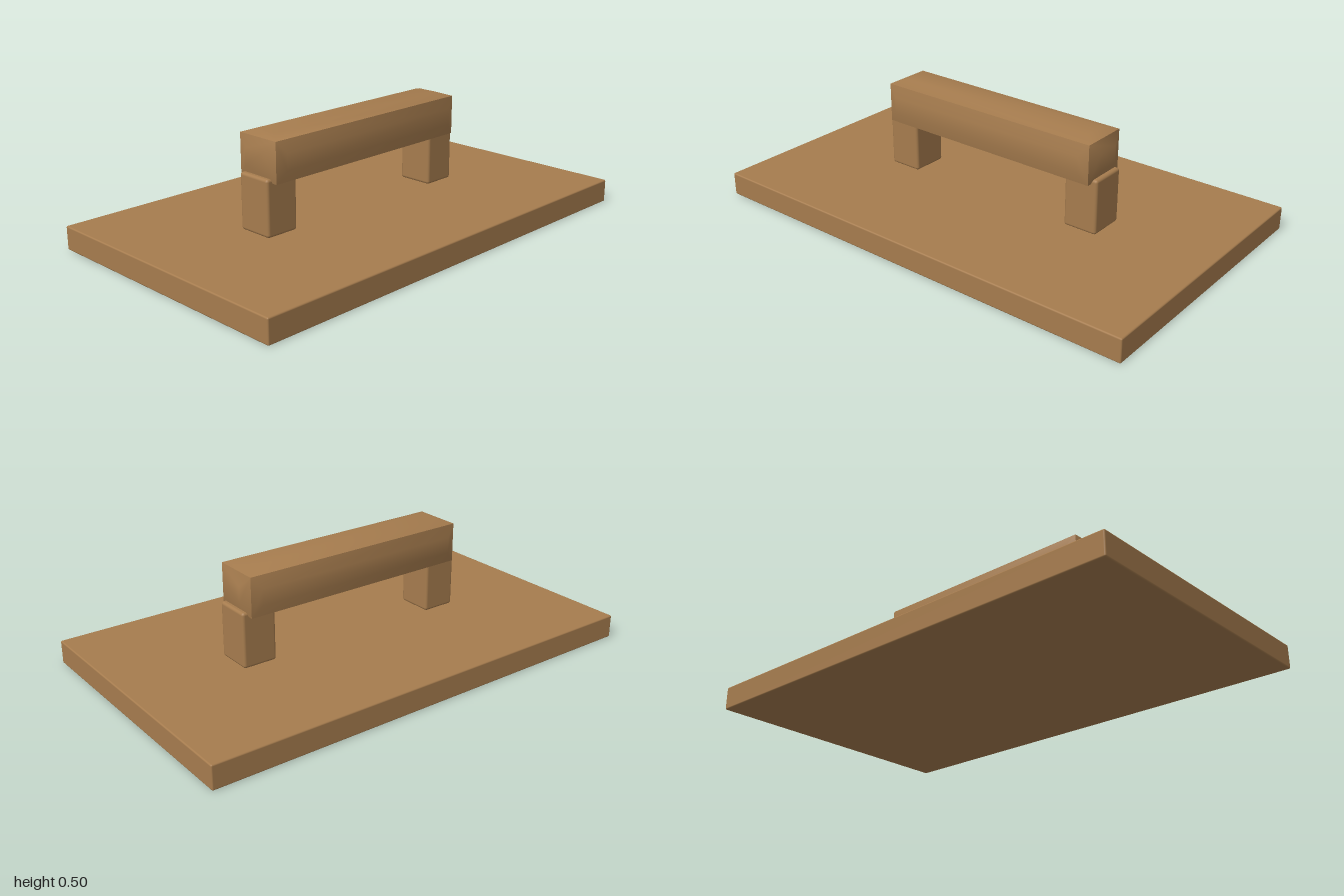
import * as THREE from 'three';
import { toCreasedNormals } from 'three/addons/utils/BufferGeometryUtils.js';
import { RoundedBoxGeometry } from 'three/addons/geometries/RoundedBoxGeometry.js';
import { ConvexGeometry } from 'three/addons/geometries/ConvexGeometry.js';

// Bulging bar: box corners plus a smaller raised panel on each of the six sides
function pillowBar(half, corner, panel) {
  const points = [];
  for (const sx of [-1, 1]) for (const sy of [-1, 1]) for (const sz of [-1, 1]) {
    const at = (x, y, z) => points.push(new THREE.Vector3(sx * x, sy * y, sz * z));
    at(corner.x, corner.y, corner.z);
    at(half.x, panel.y, panel.z);
    at(panel.x, half.y, panel.z);
    at(panel.x, panel.y, half.z);
  }
  return toCreasedNormals(new ConvexGeometry(points), 0.6);
}

export function createModel() {
  const model = new THREE.Group();
  model.name = 'handFloat';
  const wood = new THREE.MeshStandardMaterial({ color: 0xa67c4e });
  wood.name = 'wood';

  const add = (name, geometry, x, y, z) => {
    const mesh = new THREE.Mesh(geometry, wood);
    mesh.name = name;
    mesh.position.set(x, y, z);
    model.add(mesh);
  };

  // Flat board
  add('board', new RoundedBoxGeometry(2, 0.1, 1.2, 2, 0.006), 0, 0.05, 0);

  // Two posts carrying the grip
  for (const [name, side] of [['leftPost', 1], ['rightPost', -1]]) {
    add(name, new RoundedBoxGeometry(0.15, 0.235, 0.16, 2, 0.012), side * 0.465, 0.2175, 0);
  }

  // Grip bar
  add('grip', pillowBar(
    new THREE.Vector3(0.533, 0.1, 0.12),
    new THREE.Vector3(0.513, 0.084, 0.102),
    new THREE.Vector3(0.47, 0.035, 0.05)
  ), 0, 0.4, 0);

  return model;
}
